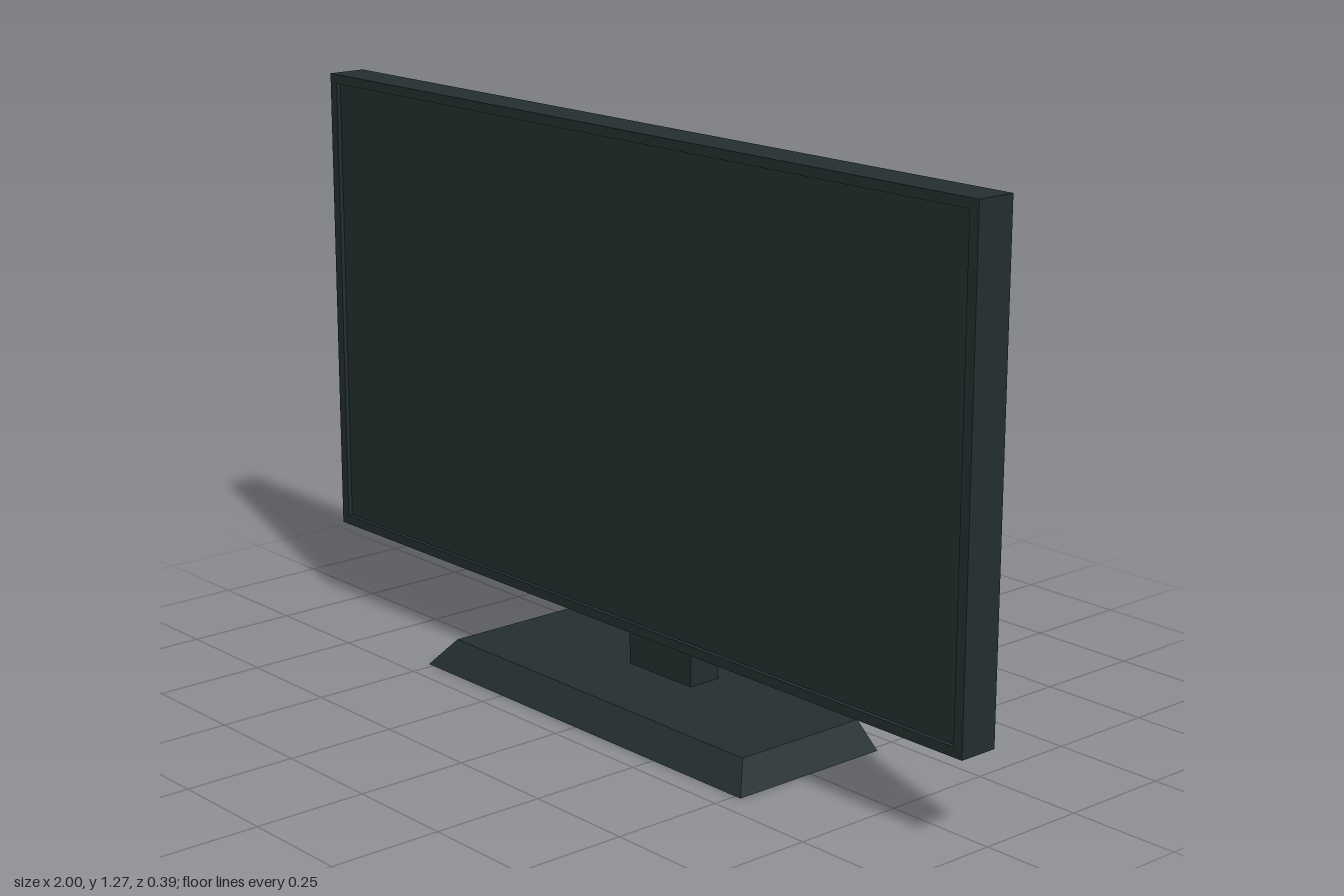
import * as THREE from 'three';

export function createModel() {
  const group = new THREE.Group();
  group.name = 'monitor';
  const darkPlastic = new THREE.MeshStandardMaterial({ color: 0x242f2f });
  darkPlastic.name = 'dark plastic';

  const add = (name, geometry, x = 0, y = 0, z = 0) => {
    const mesh = new THREE.Mesh(geometry, darkPlastic);
    mesh.name = name;
    mesh.position.set(x, y, z);
    group.add(mesh);
  };

  const rectangle = (Type, halfWidth, bottom, top) => new Type([
    new THREE.Vector2(-halfWidth, bottom), new THREE.Vector2(halfWidth, bottom),
    new THREE.Vector2(halfWidth, top), new THREE.Vector2(-halfWidth, top),
  ]);

  // Outer case, open at the front and closed by a back panel
  const back = -0.01, front = 0.08, recess = 0.01;
  const bezel = rectangle(THREE.Shape, 1, 0.198, 1.27);
  bezel.holes.push(rectangle(THREE.Path, 0.977, 0.219, 1.249));
  add('bezel', new THREE.ExtrudeGeometry(bezel, { depth: front - back, bevelEnabled: false }), 0, 0, back);

  // Screen body, slightly recessed in the bezel
  const depth = front - recess - back;
  add('screen', new THREE.BoxGeometry(1.954, 1.03, depth), 0, 0.734, back + depth / 2);

  // Bent stand: side profile in (-z, y), extruded across x
  const profile = [
    [0.01, 0.57], [0.044, 0.57], [0.044, 0.06], [0.124, 0.06],
    [0.124, 0.61], [0.07, 0.66], [0.01, 0.66],
  ].map(([x, y]) => new THREE.Vector2(x, y));
  const stand = new THREE.ExtrudeGeometry(new THREE.Shape(profile), { depth: 0.2, bevelEnabled: false });
  stand.translate(0, 0, -0.1).rotateY(Math.PI / 2);
  add('stand', stand);

  // Foot: a box whose top is drawn in, most of all at the front and sides
  const foot = new THREE.BoxGeometry(1.03, 0.06, 0.388);
  foot.translate(0, 0.03, 0.001);
  const p = foot.attributes.position;
  for (let i = 0; i < p.count; i++) {
    if (p.getY(i) < 0.05) continue;
    p.setX(i, Math.sign(p.getX(i)) * 0.47);
    p.setZ(i, p.getZ(i) > 0 ? 0.148 : -0.178);
  }
  foot.computeVertexNormals();
  add('foot', foot);

  return group;
}
